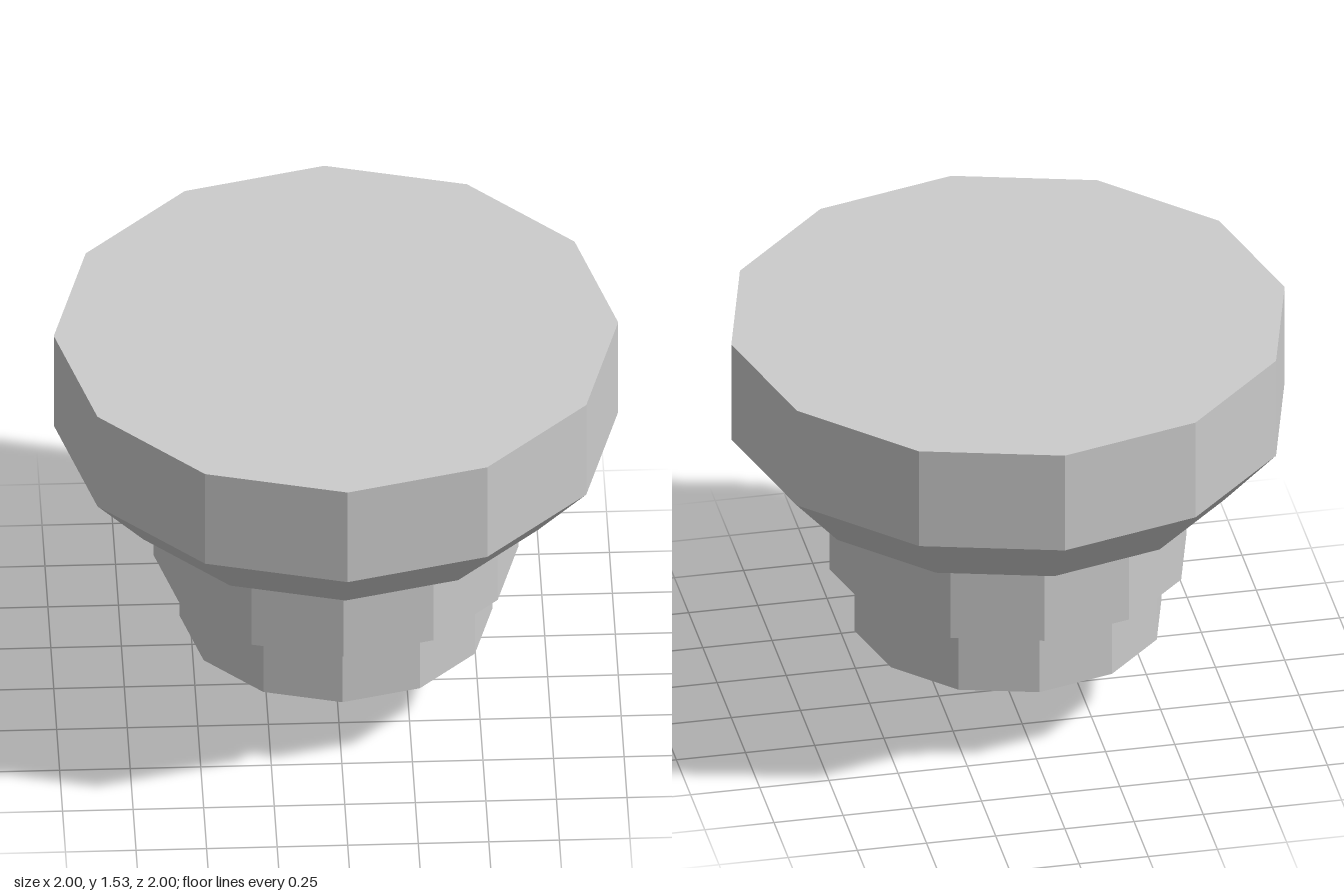
import * as THREE from 'three';

const SIDES = 12;

export function createModel() {
  const group = new THREE.Group();
  const material = new THREE.MeshStandardMaterial({ color: 0xcccccc, flatShading: true });

  // Faceted turned part; profile is [radius, height] pairs from bottom to top
  const turned = (name, profile) => {
    const points = profile.map(([r, y]) => new THREE.Vector2(r, y));
    const mesh = new THREE.Mesh(new THREE.LatheGeometry(points, SIDES), material);
    mesh.name = name;
    group.add(mesh);
  };

  // Pointed tip rising into the lower barrel
  turned('tip', [[0, 0], [0.555, 0.305]]);
  turned('lowerBarrel', [[0.555, 0.305], [0.555, 0.568]]);

  // Wider barrel with its underside ledge
  turned('upperBarrel', [[0.555, 0.568], [0.646, 0.568], [0.646, 0.926]]);

  // Head: underside ledge, chamfer, rim and flat top
  turned('head', [[0.646, 0.926], [0.808, 0.926], [1, 1.142], [1, 1.531], [0, 1.531]]);

  return group;
}
